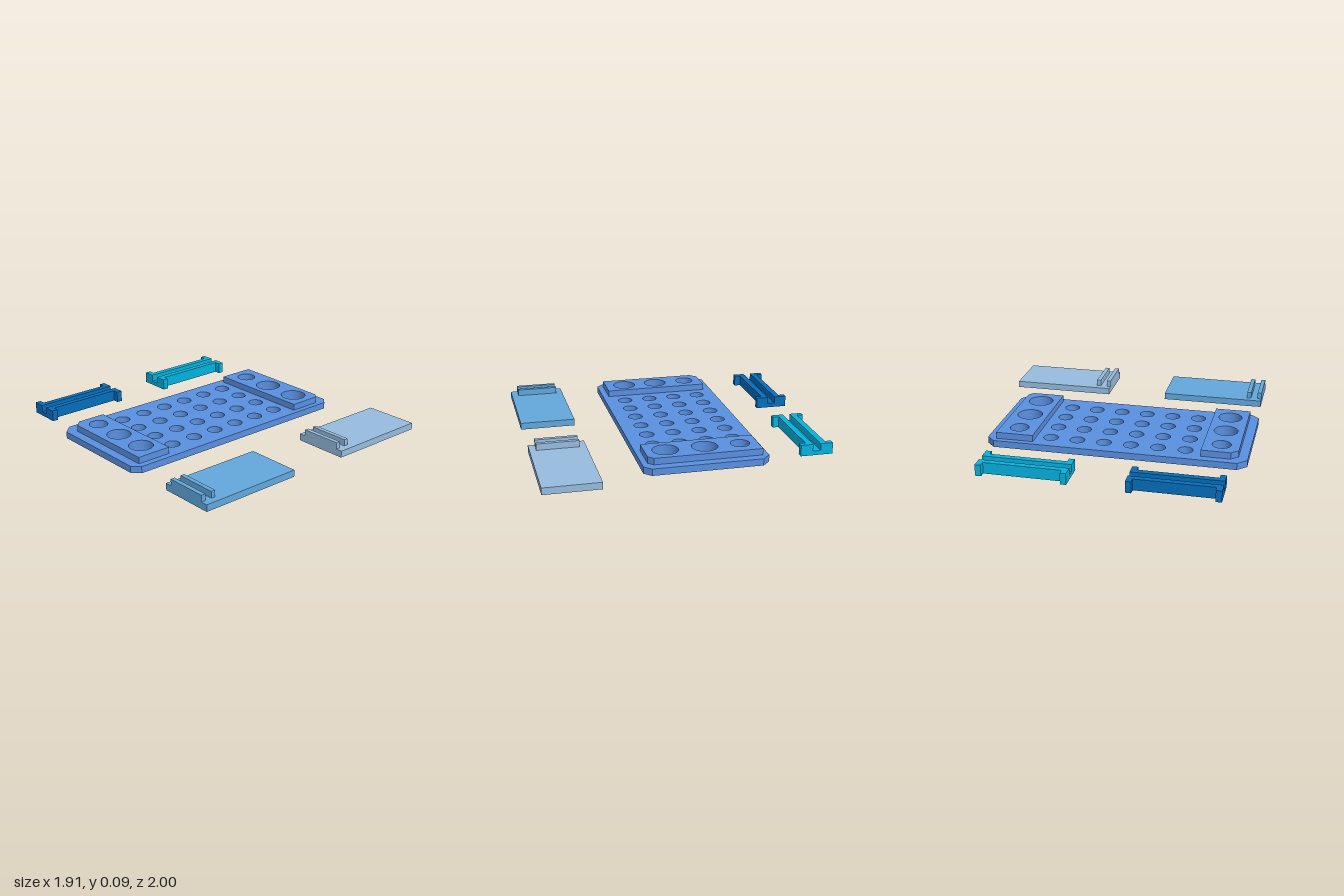
import * as THREE from 'three';
import { toCreasedNormals } from 'three/addons/utils/BufferGeometryUtils.js';

const material = (name, color) => {
  const m = new THREE.MeshStandardMaterial({ color });
  m.name = name;
  return m;
};

// Extrude a plan outline of [x, z] points upward from y0 to y1, with round holes [x, z, radius].
// Outlines with holes run clockwise as seen from above, so the holes run the other way.
function slab(name, points, y0, y1, mat, holes = []) {
  const shape = new THREE.Shape(points.map(([x, z]) => new THREE.Vector2(x, -z)));
  for (const [x, z, r] of holes) {
    shape.holes.push(new THREE.Path().absarc(x, -z, r, 0, Math.PI * 2, false));
  }
  const geo = new THREE.ExtrudeGeometry(shape, { depth: y1 - y0, bevelEnabled: false, curveSegments: 24 });
  geo.rotateX(-Math.PI / 2).translate(0, y0, 0);
  const mesh = new THREE.Mesh(toCreasedNormals(geo, 0.5), mat);
  mesh.name = name;
  return mesh;
}

// Box given by its limits on each axis.
function box(name, x0, x1, y0, y1, z0, z1, mat) {
  const geo = new THREE.BoxGeometry(x1 - x0, y1 - y0, z1 - z0);
  geo.translate((x0 + x1) / 2, (y0 + y1) / 2, (z0 + z1) / 2);
  const mesh = new THREE.Mesh(geo, mat);
  mesh.name = name;
  return mesh;
}

const BASE = 0.047, TOP = 0.092;

// Flat cover plate with two ribs near its -x end.
function coverPlate(name, x, z, mat) {
  const g = new THREE.Group();
  g.name = name;
  g.add(box('plate', x, x + 0.729, 0, BASE, z, 1, mat));
  for (const a of [0, 0.077]) {
    g.add(box('rib', x + a, x + a + 0.03, BASE, TOP, z + 0.046, z + 0.336, mat));
  }
  return g;
}

// Grooved bar with wider ends: a floor strip below and two mirrored rails.
function groovedBar(name, x, z, mat) {
  const g = new THREE.Group();
  g.name = name;
  const L = 0.303, flange = 0.263, inner = 0.027, outer = 0.069, tip = 0.112;
  g.add(box('grooveFloor', -L, L, 0, 0.03, -inner, inner, mat));
  for (const s of [-1, 1]) {
    const points = [
      [-L, inner], [L, inner], [L, tip], [flange, tip], [flange, outer],
      [-flange, outer], [-flange, tip], [-L, tip],
    ].map(([px, pz]) => [px, pz * s]);
    g.add(slab('rail', points, 0, 0.078, mat));
  }
  g.position.set(x, 0, z);
  return g;
}

export function createModel() {
  const model = new THREE.Group();
  model.name = 'plateKit';
  const blue = material('mediumBlue', 0x5a90e0);
  const navy = material('deepBlue', 0x046ebc);
  const teal = material('cyanBlue', 0x04b2e0);
  const sky = material('skyBlue', 0x62a8dc);
  const grey = material('greyBlue', 0x96bcde);

  // Large holes pass through both the base and the raised end pads
  const leftHoles = [[-0.773, -0.342, 0.064], [-0.771, -0.106, 0.082], [-0.771, 0.138, 0.082]];
  const rightHoles = [[0.628, -0.363, 0.065], [0.628, -0.12, 0.088], [0.628, 0.146, 0.088]];
  const gridHoles = [];
  for (let i = 0; i < 6; i++) {
    for (let j = 0; j < 4; j++) gridHoles.push([-0.538 + i * 0.187, -0.384 + j * 0.187, 0.051]);
  }

  // Main perforated plate with cut corners
  const main = new THREE.Group();
  main.name = 'mainPlate';
  main.add(slab('base', [
    [-0.96, -0.46], [-0.898, -0.522], [0.766, -0.522], [0.823, -0.465],
    [0.823, 0.277], [0.775, 0.325], [-0.909, 0.325], [-0.96, 0.274],
  ], 0, BASE, blue, [...leftHoles, ...rightHoles, ...gridHoles]));
  main.add(slab('raisedPadRight', [
    [-0.897, -0.417], [-0.85, -0.464], [-0.65, -0.464], [-0.65, 0.281], [-0.897, 0.281],
  ], BASE, TOP, blue, leftHoles));
  main.add(slab('raisedPadLeft', [
    [0.498, -0.482], [0.758, -0.482], [0.758, 0.25], [0.722, 0.286], [0.498, 0.286],
  ], BASE, TOP, blue, rightHoles));
  main.position.set(0.002, 0, 0.002);
  model.add(main);

  // Loose pieces around the plate
  model.add(groovedBar('groovedBarRight', -0.561, -0.888, navy));
  model.add(groovedBar('groovedBarLeft', 0.43, -0.866, teal));
  model.add(coverPlate('coverPlateRight', -0.938, 0.616, sky));
  model.add(coverPlate('coverPlateLeft', 0.228, 0.619, grey));
  return model;
}
